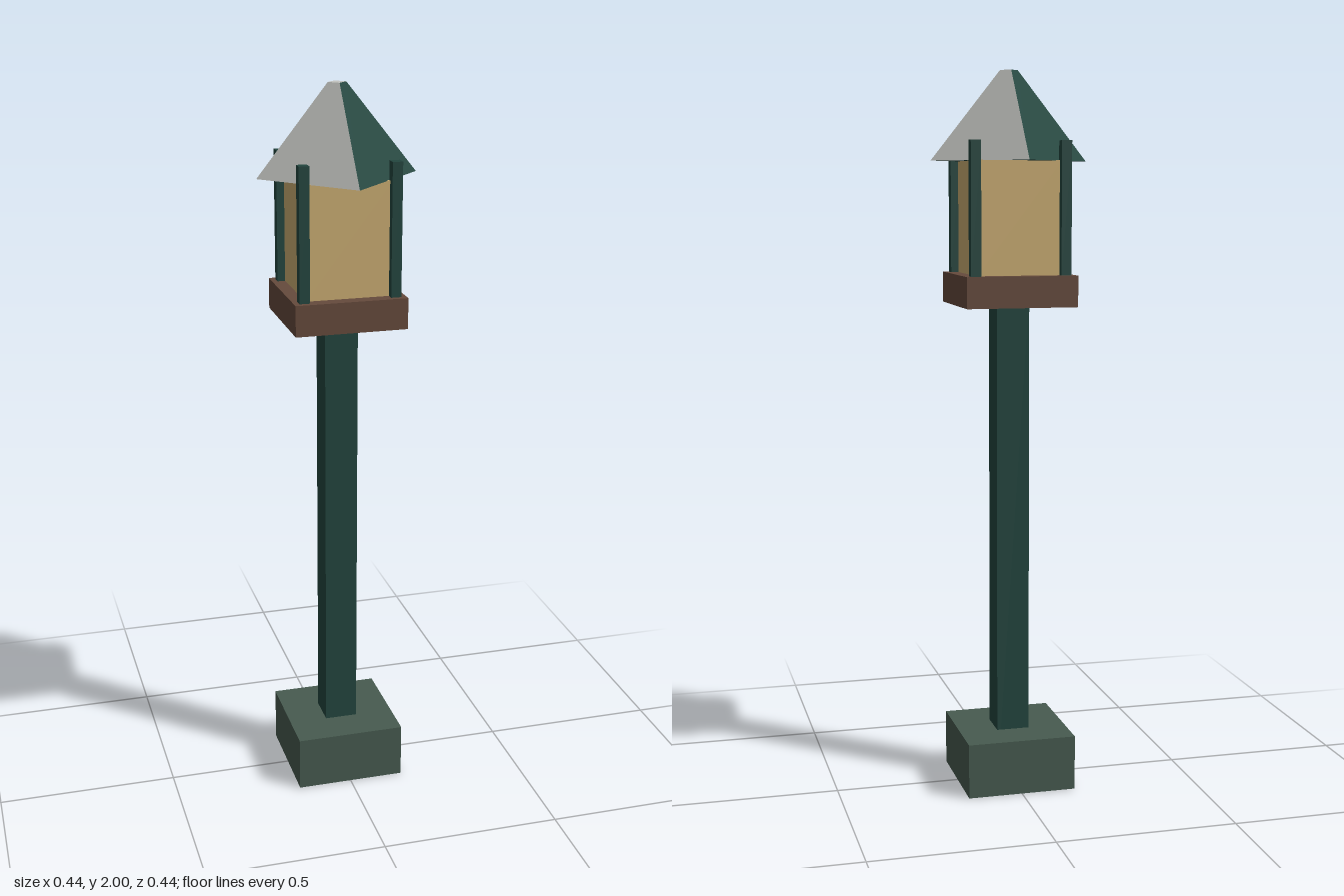
import * as THREE from 'three';

export function createModel() {
  const model = new THREE.Group();
  model.name = 'lampPost';

  const material = (name, color) => {
    const m = new THREE.MeshStandardMaterial({ color });
    m.name = name;
    return m;
  };
  const green = material('darkGreen', 0x23463f);
  const stone = material('greyGreen', 0x475b50);
  const wood = material('brown', 0x664a3c);
  const glass = material('amber', 0xccae73);
  const pale = material('paleGrey', 0xc2c4c0);

  // Square block from height y0 to y1, with the given half width
  const block = (name, mat, half, y0, y1, x = 0, z = 0) => {
    const mesh = new THREE.Mesh(new THREE.BoxGeometry(half * 2, y1 - y0, half * 2), mat);
    mesh.name = name;
    mesh.position.set(x, (y0 + y1) / 2, z);
    model.add(mesh);
  };

  block('base', stone, 0.153, 0.001, 0.155);
  block('pole', green, 0.046, 0, 1.4);
  block('platform', wood, 0.154, 1.365, 1.45);
  block('lantern', glass, 0.118, 1.45, 1.758);

  // Corner posts around the lantern
  for (const x of [-0.125, 0.125]) {
    for (const z of [-0.125, 0.125]) block('cornerPost', green, 0.014, 1.45, 1.81, x, z);
  }

  // Truncated pyramid roof, turned so its corners lie on the axes
  const y0 = 1.757, y1 = 2;
  const roofGeo = new THREE.CylinderGeometry(0.025, 0.219, y1 - y0, 4).toNonIndexed();
  roofGeo.computeVertexNormals();
  roofGeo.clearGroups();
  // Slopes alternate green and pale; the tip is pale, the underside green
  for (let i = 0; i < 4; i++) roofGeo.addGroup(i * 6, 6, i % 2);
  roofGeo.addGroup(24, 12, 1);
  roofGeo.addGroup(36, 12, 0);
  const roof = new THREE.Mesh(roofGeo, [green, pale]);
  roof.name = 'roof';
  roof.position.y = (y0 + y1) / 2;
  model.add(roof);

  return model;
}
